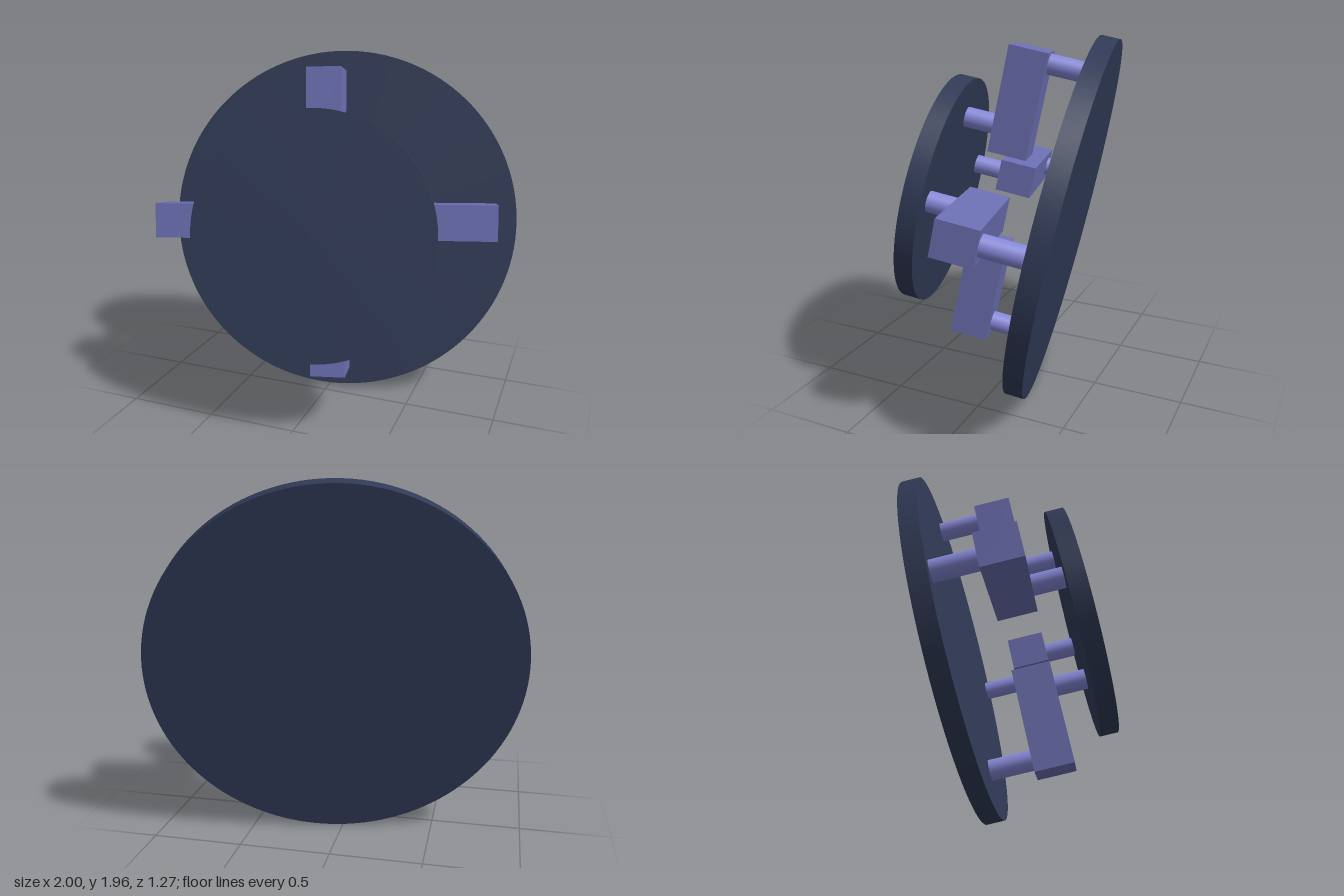
import * as THREE from 'three';

export function createModel() {
  const model = new THREE.Group();
  model.name = 'linkedDiscs';
  const mat = (name, color) => {
    const m = new THREE.MeshStandardMaterial({ color });
    m.name = name;
    return m;
  };
  const navy = mat('dark navy', 0x303a56);
  const violet = mat('muted violet', 0x6c6fb2);
  const lilac = mat('light violet', 0x8688d8);

  // Tilted assembly: local z is the shared axis of the discs and pins
  const assembly = new THREE.Group();
  assembly.name = 'assembly';
  const ex = new THREE.Vector3(0.977, 0.028, -0.212).normalize();
  const ez = ex.clone().cross(new THREE.Vector3(-0.07, 0.98, -0.19)).normalize();
  const ey = ez.clone().cross(ex);
  assembly.quaternion.setFromRotationMatrix(new THREE.Matrix4().makeBasis(ex, ey, ez));
  assembly.position.set(0, 0.99, -0.305);
  model.add(assembly);

  const add = (name, geometry, material, x, y, z) => {
    const mesh = new THREE.Mesh(geometry, material);
    mesh.name = name;
    mesh.position.set(x, y, z);
    assembly.add(mesh);
  };
  const rod = (rx, ry, depth, sides) =>
    new THREE.CylinderGeometry(1, 1, depth, sides).rotateX(Math.PI / 2).scale(rx, ry, 1);

  // Large rear disc and small front disc
  add('rearDisc', rod(1.01, 0.99, 0.1, 128), navy, 0, 0, 0);
  add('frontDisc', rod(0.632, 0.648, 0.1, 128), navy, -0.065, -0.038, 0.718);

  // Four crank arms, each with a rear pin near its outer end and a front pin near its inner end
  const arms = [
    { name: 'left', along: 'x', mid: 0.583, outer: 0.8, inner: 0.41, side: 0.027 },
    { name: 'right', along: 'x', mid: -0.695, outer: -0.895, inner: -0.52, side: 0.02 },
    { name: 'top', along: 'y', mid: 0.555, outer: 0.783, inner: 0.4, side: -0.045 },
    { name: 'bottom', along: 'y', mid: -0.535, outer: -0.738, inner: -0.36, side: -0.02 },
  ];
  for (const { name, along, mid, outer, inner, side } of arms) {
    const at = (d) => (along === 'x' ? [d, side] : [side, d]);
    const size = along === 'x' ? [0.582, 0.19] : [0.19, 0.582];
    add(name + 'Arm', new THREE.BoxGeometry(...size, 0.215), violet, ...at(mid), 0.39);
    add(name + 'RearPin', rod(0.056, 0.056, 0.27, 32), lilac, ...at(outer), 0.165);
    add(name + 'FrontPin', rod(0.056, 0.056, 0.21, 32), lilac, ...at(inner), 0.585);
  }
  return model;
}
